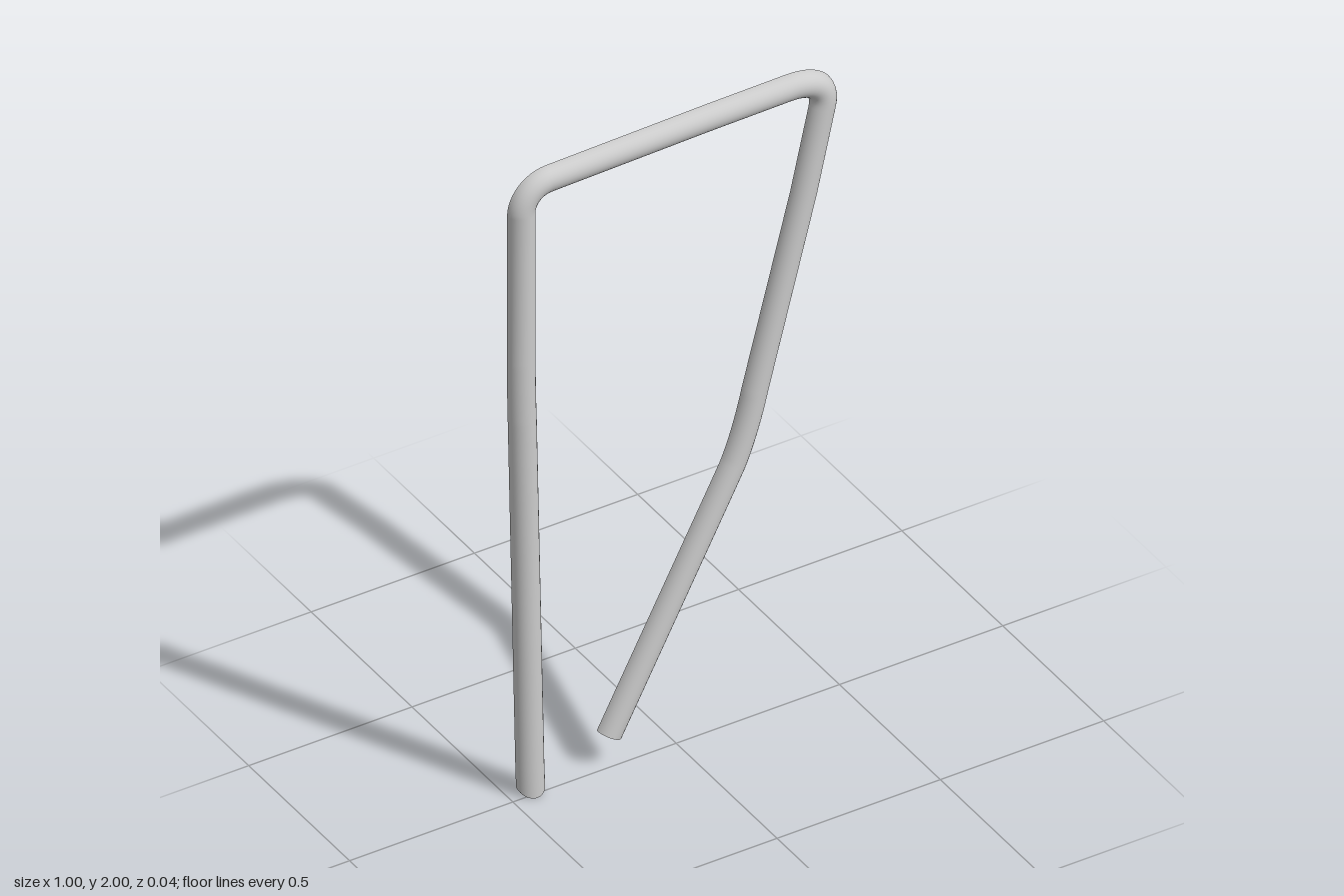
import * as THREE from 'three';

const BACK = -0.022; // plane of the open back
const DEPTH = 0.04;

// Sweeps an open half-round channel along a path in the xy plane
function sweepChannel(points, widthAt, endCut, segments = 16) {
  const pos = [], index = [], row = segments + 1;
  const dirs = points.slice(1).map((p, i) => p.clone().sub(points[i]).normalize());
  points.forEach((p, i) => {
    const a = dirs[Math.max(i - 1, 0)], b = dirs[Math.min(i, dirs.length - 1)];
    const t = a.clone().add(b).normalize();
    const w = widthAt(i / (points.length - 1)) / t.dot(b); // mitred joint
    for (let j = 0; j <= segments; j++) {
      const ang = (Math.PI * j) / segments, c = Math.cos(ang), s = Math.sin(ang);
      const lift = i === 0 ? endCut * (1 - s) : 0; // sides of the first end are cut back
      pos.push(p.x + t.y * w * c + t.x * lift, p.y - t.x * w * c + t.y * lift, BACK + DEPTH * s);
      if (i < points.length - 1 && j < segments) {
        const k = i * row + j;
        index.push(k, k + row, k + 1, k + 1, k + row, k + row + 1);
      }
    }
  });
  const g = new THREE.BufferGeometry();
  g.setAttribute('position', new THREE.Float32BufferAttribute(pos, 3));
  g.setIndex(index);
  g.computeVertexNormals();
  return g;
}

export function createModel() {
  const group = new THREE.Group();
  group.name = 'bentFrame';

  // Centre line: long post, top rail, slanted post, lower leg
  const path = new THREE.Path();
  path.moveTo(-0.435, 0.002);
  path.lineTo(-0.438, 0.1);
  path.lineTo(-0.461, 1.2);
  path.quadraticCurveTo(-0.464, 1.3, -0.464, 1.4);
  path.lineTo(-0.464, 1.865);
  path.bezierCurveTo(-0.464, 1.91, -0.43, 1.945, -0.385, 1.946);
  path.lineTo(0.1, 1.957);
  path.lineTo(0.35, 1.96);
  path.bezierCurveTo(0.43, 1.96, 0.472, 1.925, 0.457, 1.865);
  path.lineTo(0.4, 1.61);
  path.lineTo(0.252, 1.04);
  path.quadraticCurveTo(0.222, 0.91, 0.182, 0.82);
  path.lineTo(0.15, 0.758);
  path.lineTo(-0.196, 0.098);

  const channel = new THREE.Mesh(
    sweepChannel(path.getPoints(12), (u) => 0.041 - 0.003 * u, 0.027),
    new THREE.MeshStandardMaterial({ color: 0xcccccc, side: THREE.DoubleSide })
  );
  channel.name = 'frameChannel';
  group.add(channel);
  return group;
}
